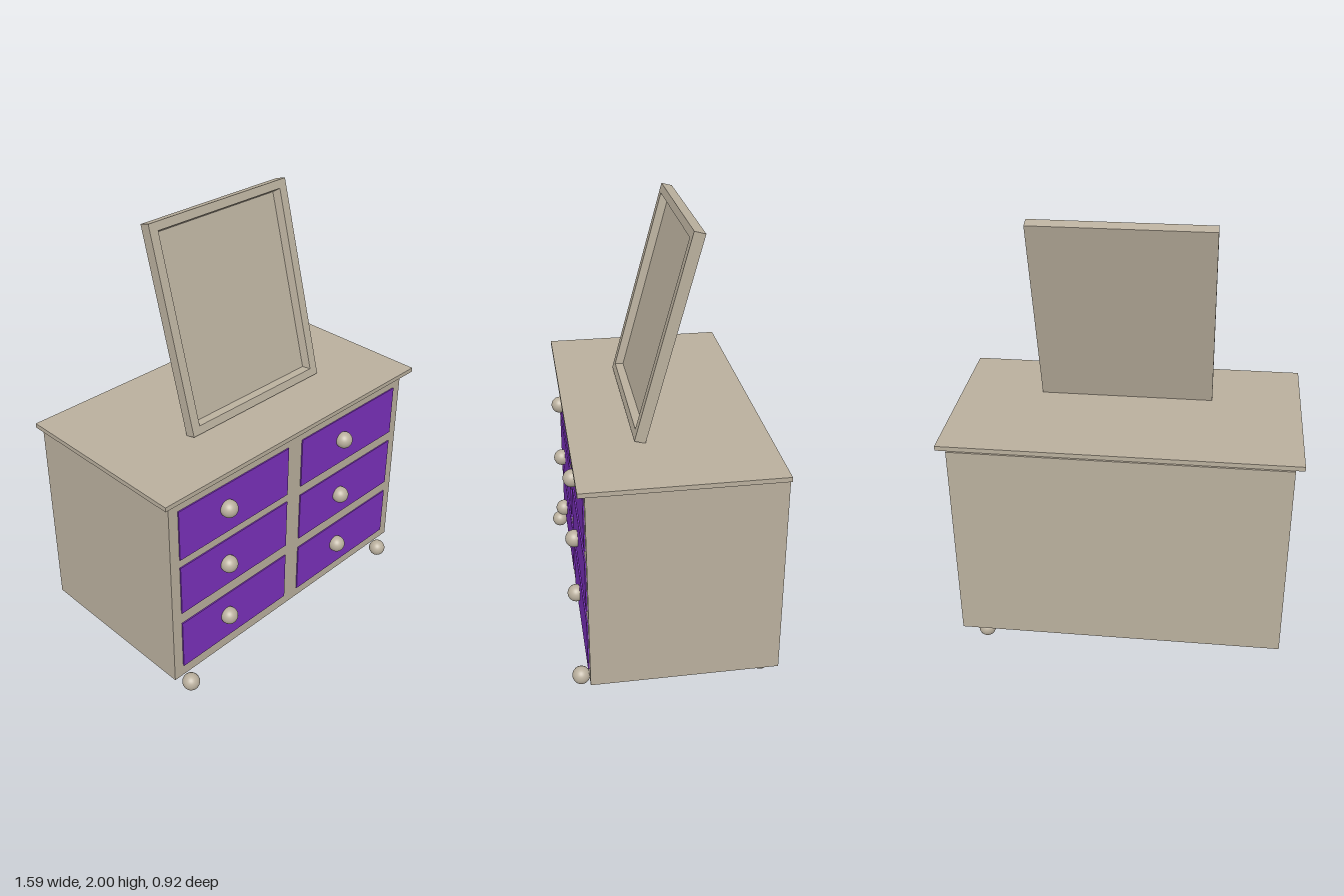
import * as THREE from 'three';

export function createModel() {
  const group = new THREE.Group();
  const paint = new THREE.MeshStandardMaterial({ color: 0xb9af9d });
  paint.name = 'beige paint';
  const purple = new THREE.MeshStandardMaterial({ color: 0x7a30ba });
  purple.name = 'purple drawer paint';

  function add(parent, name, geometry, material, x = 0, y = 0, z = 0) {
    const mesh = new THREE.Mesh(geometry, material);
    mesh.name = name;
    mesh.position.set(x, y, z);
    parent.add(mesh);
    return mesh;
  }
  // box given by its low and high limits on each axis
  function box(name, material, [x0, x1], [y0, y1], [z0, z1]) {
    return add(group, name, new THREE.BoxGeometry(x1 - x0, y1 - y0, z1 - z0), material,
      (x0 + x1) / 2, (y0 + y1) / 2, (z0 + z1) / 2);
  }

  // cabinet and overhanging top
  box('cabinet', paint, [-0.755, 0.745], [0.085, 1.065], [-0.457, 0.385]);
  box('topBoard', paint, [-0.795, 0.795], [1.065, 1.086], [-0.448, 0.418]);

  // drawer fronts with round knobs: x range, y range, knob x, knob y
  const ball = new THREE.SphereGeometry(0.04, 32, 20);
  const left = [-0.705, -0.05], right = [0.04, 0.695];
  const drawers = [
    [left, [0.75, 1.002], -0.435, 0.885],
    [left, [0.455, 0.707], -0.436, 0.583],
    [left, [0.142, 0.395], -0.436, 0.28],
    [right, [0.75, 1.002], 0.316, 0.885],
    [right, [0.445, 0.697], 0.314, 0.57],
    [right, [0.135, 0.388], 0.312, 0.268],
  ];
  for (const [xs, ys, kx, ky] of drawers) {
    box('drawerFront', purple, xs, ys, [0.383, 0.391]);
    add(group, 'knob', ball, paint, kx, ky, 0.406);
  }

  // ball feet
  for (const [x, y, z] of [[-0.69, 0.055, 0.418], [0.642, 0.06, 0.418], [0.642, 0.042, -0.4]]) {
    add(group, 'foot', ball, paint, x, y, z);
  }

  // mirror leaning back: thin back panel and a frame with a tapered opening
  const mirror = new THREE.Group();
  mirror.name = 'mirror';
  mirror.position.set(0.015, 1.542, -0.005);
  mirror.rotation.x = -THREE.MathUtils.degToRad(15);
  group.add(mirror);
  const w = 0.4, h = 0.4675, ow = 0.3575, oh = 0.43;
  const rect = (shape, a, b) => shape.moveTo(-a, -b).lineTo(a, -b).lineTo(a, b).lineTo(-a, b).closePath();
  const outline = rect(new THREE.Shape(), w, h);
  outline.holes.push(rect(new THREE.Path(), ow, oh));
  const frame = new THREE.ExtrudeGeometry(outline, { depth: 0.035, bevelEnabled: false });
  const p = frame.attributes.position;
  for (let i = 0; i < p.count; i++) {
    // narrow the opening towards the back panel
    if (p.getZ(i) < 0.01 && Math.abs(p.getX(i)) < 0.38) {
      p.setX(i, p.getX(i) - Math.sign(p.getX(i)) * 0.012);
      p.setY(i, p.getY(i) - Math.sign(p.getY(i)) * 0.012);
    }
  }
  frame.computeVertexNormals();
  add(mirror, 'mirrorFrame', frame, paint, 0, 0, -0.01);
  add(mirror, 'mirrorPanel', new THREE.BoxGeometry(w * 2, h * 2, 0.015), paint, 0, 0, -0.0175);

  return group;
}
